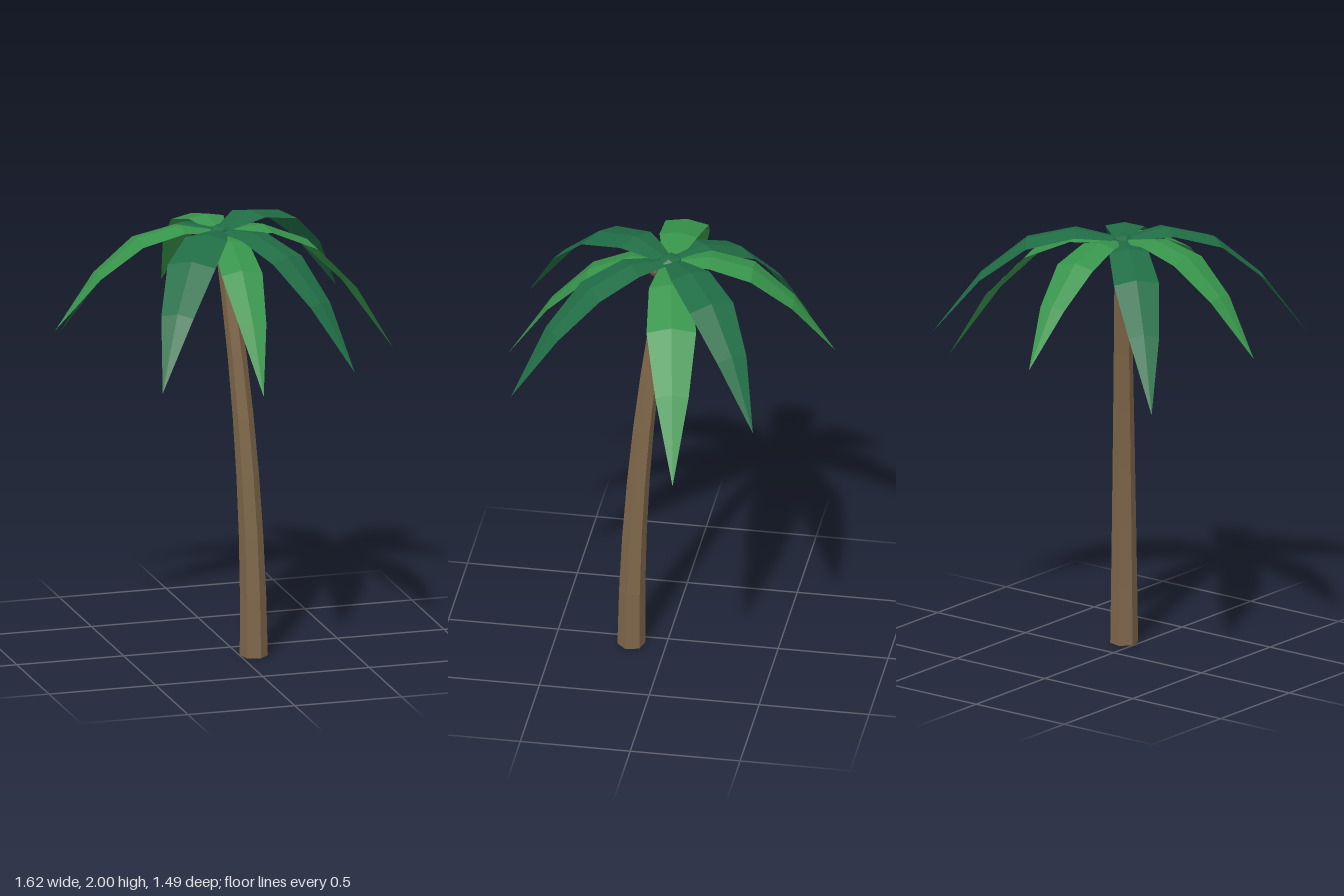
import * as THREE from 'three';

const material = (name, color, side = THREE.FrontSide) => {
  const m = new THREE.MeshStandardMaterial({ color, side, flatShading: true });
  m.name = name;
  return m;
};

// Six-sided trunk, tapering and leaning over in a smooth curve
function trunkGeometry() {
  const height = 1.94;
  const geo = new THREE.CylinderGeometry(1, 1, 1, 6, 7, false, Math.PI / 12);
  const pos = geo.attributes.position;
  for (let i = 0; i < pos.count; i++) {
    const u = pos.getY(i) + 0.5;
    const r = 0.063 - 0.028 * u;
    const x = 0.062 - 0.108 * u * u, z = 0.157 - 0.151 * u * u;
    pos.setXYZ(i, x + pos.getX(i) * r, u * height, z + pos.getZ(i) * r);
  }
  geo.computeVertexNormals();
  return geo;
}

// Drooping frond: a raised midrib with a row of facets on each side
function frondGeometry(root, tip) {
  const dx = tip.x - root.x, dz = tip.z - root.z;
  const length = Math.hypot(dx, dz);
  const side = new THREE.Vector3(-dz / length, 0, dx / length);
  // Extra pitch that carries the shared arch down to this tip
  const pitch = 0.53 * length - (root.y - tip.y);
  // [distance along, height of the arch, half width], relative to length
  const stations = [
    [0, 0, 0.04], [0.245, 0.05, 0.112], [0.5, -0.006, 0.128], [0.745, -0.2, 0.086], [1, -0.53, 0],
  ];
  const rows = stations.map(([t, h, w]) => {
    const y = root.y + h * length + pitch * t ** 1.15;
    const rib = new THREE.Vector3(root.x + dx * t, y, root.z + dz * t);
    const edge = (s) => {
      const p = rib.clone().addScaledVector(side, s * w * length);
      p.y -= w * length * 0.2;
      return p;
    };
    return { left: edge(-1), rib, right: edge(1) };
  });
  const points = [];
  for (let i = 0; i < rows.length - 1; i++) {
    const a = rows[i], b = rows[i + 1];
    points.push(a.rib, b.rib, b.left, a.rib, b.left, a.left);
    points.push(a.rib, a.right, b.right, a.rib, b.right, b.rib);
  }
  const geo = new THREE.BufferGeometry().setFromPoints(points);
  geo.computeVertexNormals();
  return geo;
}

export function createModel() {
  const model = new THREE.Group();
  model.name = 'palmTree';
  const bark = material('bark brown', 0x7f674a);
  const nut = material('coconut brown', 0x6f5040);
  const lightGreen = material('light green', 0x37944b, THREE.DoubleSide);
  const darkGreen = material('dark green', 0x206d45, THREE.DoubleSide);

  const add = (name, geo, mat, parent = model) => {
    const mesh = new THREE.Mesh(geo, mat);
    mesh.name = name;
    parent.add(mesh);
    return mesh;
  };

  add('trunk', trunkGeometry(), bark);

  // Fronds alternate light and dark around the crown
  const crown = new THREE.Group();
  crown.name = 'crown';
  model.add(crown);
  const tips = [
    [-0.1, 1.52, -0.745], [0.645, 1.5, -0.497], [0.81, 1.285, -0.16], [0.387, 1.425, 0.648],
    [-0.067, 1.375, 0.74], [-0.537, 1.425, 0.73], [-0.815, 1.535, -0.022], [-0.64, 1.365, -0.542],
  ];
  tips.forEach((tip, i) => {
    const dark = i % 2 === 1;
    const root = new THREE.Vector3(-0.046, dark ? 1.953 : 1.945, 0);
    const geo = frondGeometry(root, new THREE.Vector3(...tip));
    add(`frond${i + 1}`, geo, dark ? darkGreen : lightGreen, crown);
  });

  // Bud where the fronds meet
  const bud = add('bud', new THREE.IcosahedronGeometry(0.058, 0), darkGreen, crown);
  bud.scale.y = 0.45;
  bud.position.set(-0.046, 1.948, 0);

  // Coconuts either side of the trunk, under the crown
  const nuts = [[-0.05, 1.885, 0.066], [-0.095, 1.885, -0.015]];
  nuts.forEach((p, i) => {
    add(`coconut${i + 1}`, new THREE.IcosahedronGeometry(0.03, 1), nut).position.set(...p);
  });

  return model;
}
